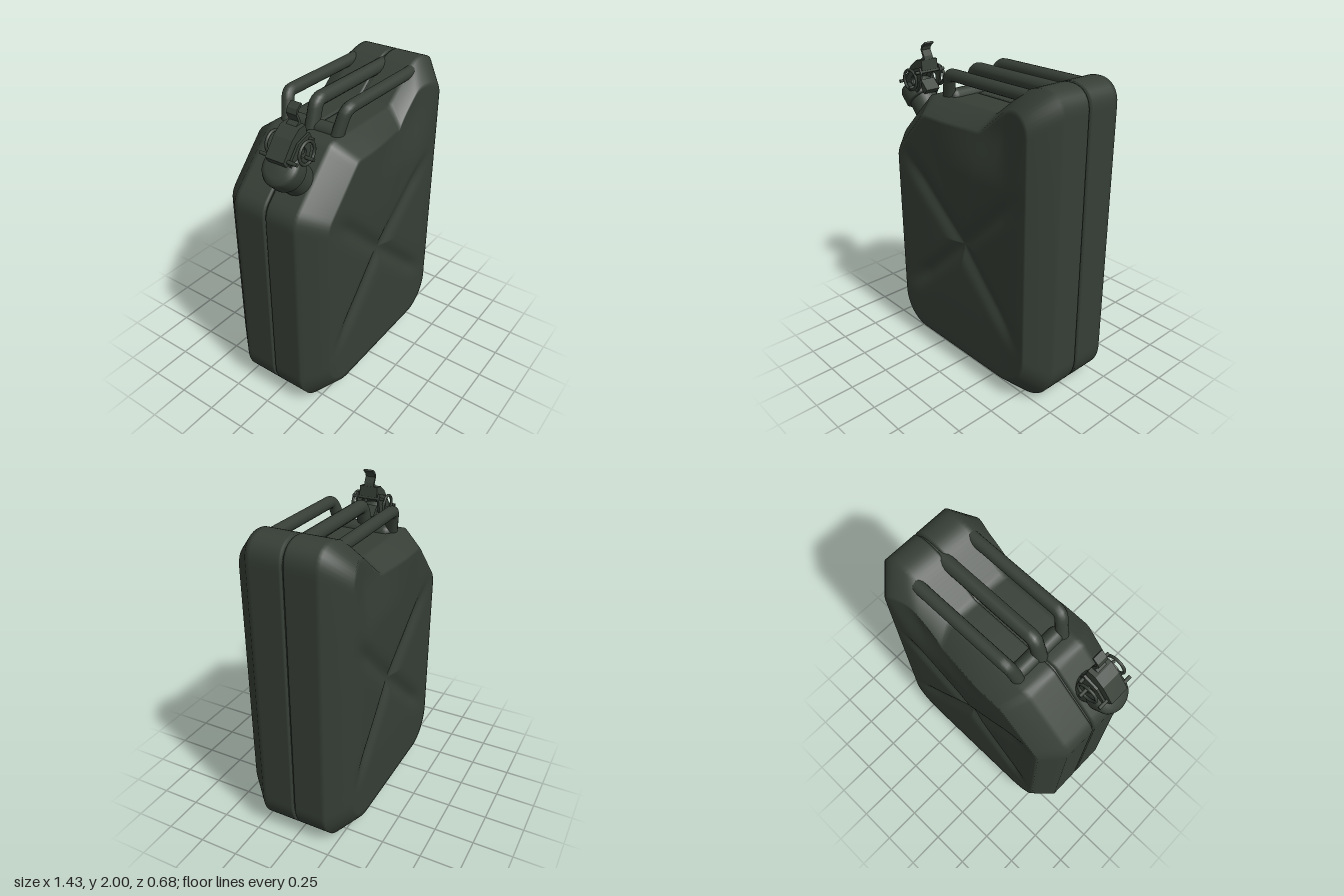
import * as THREE from 'three';

const paint = new THREE.MeshStandardMaterial({ color: 0x363e36 });
paint.name = 'dark olive paint';
const { smoothstep } = THREE.MathUtils;

function add(parent, name, geometry, x = 0, y = 0, z = 0) {
  const mesh = new THREE.Mesh(geometry, paint);
  mesh.name = name;
  mesh.position.set(x, y, z);
  parent.add(mesh);
  return mesh;
}

// Side outline of the can, counter-clockwise
function canOutline() {
  const s = new THREE.Shape();
  s.moveTo(-0.42, 0);
  s.lineTo(0.475, 0);
  s.absarc(0.475, 0.24, 0.24, -Math.PI / 2, 0);
  s.lineTo(0.715, 1.8);
  s.bezierCurveTo(0.715, 1.88, 0.67, 1.935, 0.58, 1.935);
  s.bezierCurveTo(0.5, 1.935, 0.46, 1.9, 0.42, 1.87);
  s.lineTo(0.24, 1.73);
  s.lineTo(-0.3, 1.73);
  s.quadraticCurveTo(-0.335, 1.73, -0.36, 1.7);
  s.lineTo(-0.62, 1.44);
  s.quadraticCurveTo(-0.66, 1.4, -0.66, 1.34);
  s.lineTo(-0.66, 0.24);
  s.absarc(-0.42, 0.24, 0.24, Math.PI, Math.PI * 1.5);
  const pts = s.getSpacedPoints(240);
  pts.pop();
  return pts;
}

// Outline shrunk by an inset about the middle of the can
const shrink = (p, inset) => [
  0.0275 + (p.x - 0.0275) * (1 - inset / 0.6875),
  0.9675 + (p.y - 0.9675) * (1 - inset / 0.9675),
];

// Depth of the pressed panel: a shallow hollow with cross-shaped valleys,
// falling away beside the ridge that leads to the raised corner
function panelZ(x, y, s) {
  const dx = Math.abs(x - 0.035), dy = Math.abs(y - 0.875);
  const r = Math.hypot(dx, dy);
  const d = Math.abs(dx * 0.686 - dy * 0.727);
  const valley = Math.exp(-((d / 0.055) ** 2)) * (1 - smoothstep(r, 0.45, 0.76));
  const hollow = Math.pow(Math.max(0, 0.96 - Math.max(s, 0.07)), 1.5);
  const u = 0.5 + (y - 1.35) * 0.22 - x;
  const fall = smoothstep(y, 1.35, 1.7) * smoothstep(u, 0, 0.2) * (1 - smoothstep(u, 0.25, 0.7));
  return 0.34 - 0.03 * hollow - 0.026 * valley - 0.04 * fall;
}

function bodyGeometry() {
  const outline = canOutline();
  const n = outline.length;
  // Seam groove, side wall and start of the chamfer
  const half = [[0.016, 0.004], [0.016, 0.007], [0, 0.009], [0, 0.02], [0, 0.19], [0, 0.218]]
    .map(([inset, z]) => outline.map((p) => [...shrink(p, inset), z]));
  // Pressed panel, ring by ring to its centre
  const steps = 32;
  for (let k = 0; k <= steps; k++) {
    const s = 1 - k / steps;
    half.push(outline.map((p) => {
      const [rx, ry] = shrink(p, 0.11);
      const x = 0.035 + (rx - 0.035) * s, y = 0.875 + (ry - 0.875) * s;
      return [x, y, panelZ(x, y, s)];
    }));
  }
  const back = half.map((ring) => ring.map(([x, y, z]) => [x, y, -z])).reverse();
  const rings = [...back, ...half];
  const index = [];
  for (let k = 0; k < rings.length - 1; k++) {
    for (let i = 0; i < n; i++) {
      const j = (i + 1) % n;
      const a = k * n + i, b = k * n + j, c = b + n, d = a + n;
      index.push(a, b, c, a, c, d);
    }
  }
  const g = new THREE.BufferGeometry();
  g.setAttribute('position', new THREE.Float32BufferAttribute(rings.flat(2), 3));
  g.setIndex(index);
  g.computeVertexNormals();
  return g;
}

// Bent carrying bar running from the shoulder to the raised corner
function handleGeometry(z, radius) {
  const v = (x, y, k = 1) => new THREE.Vector3(x, y, z * k);
  const path = new THREE.CurvePath();
  path.add(new THREE.LineCurve3(v(-0.238, 1.69, 0.82), v(-0.195, 1.83, 0.94)));
  path.add(new THREE.QuadraticBezierCurve3(v(-0.195, 1.83, 0.94), v(-0.182, 1.872), v(-0.14, 1.872)));
  path.add(new THREE.LineCurve3(v(-0.14, 1.872), v(0.52, 1.872)));
  return new THREE.TubeGeometry(path, 60, radius, 14);
}

function extrude(points, depth, hole) {
  const s = new THREE.Shape(points.map(([x, y]) => new THREE.Vector2(x, y)));
  if (hole) s.holes.push(new THREE.Path().absarc(hole[0], hole[1], hole[2], 0, Math.PI * 2, true));
  return new THREE.ExtrudeGeometry(s, { depth, bevelEnabled: false, curveSegments: 16 }).translate(0, 0, -depth / 2);
}

// Filler neck with its cap and locking lever; local y runs along the neck
function spout() {
  const g = new THREE.Group();
  g.name = 'spout';
  g.position.set(-0.5, 1.56, 0.11);
  g.rotation.z = Math.PI / 4;
  add(g, 'neck', new THREE.CylinderGeometry(0.088, 0.095, 0.27, 32), 0, 0.015);
  const capProfile = [[0, 0.1], [0.1, 0.1], [0.11, 0.11], [0.11, 0.185], [0.1, 0.205], [0.07, 0.222], [0, 0.225]];
  add(g, 'cap', new THREE.LatheGeometry(capProfile.map(([x, y]) => new THREE.Vector2(x, y)), 36));
  // Lever plate lying over the cap
  add(g, 'lever', extrude([[0, 0.21], [0.1, 0.225], [0.2, 0.18], [0.24, 0.23], [0.2, 0.265], [0.13, 0.276], [0.01, 0.262]], 0.12));
  // Thumb hook
  add(g, 'leverHook', extrude([[0.19, 0.235], [0.235, 0.225], [0.25, 0.25], [0.262, 0.288], [0.28, 0.297],
    [0.318, 0.293], [0.319, 0.305], [0.278, 0.311], [0.252, 0.298], [0.236, 0.256], [0.19, 0.26]], 0.065));
  for (const side of [-1, 1]) {
    add(g, 'lockBracket', extrude([[-0.03, 0.14], [0.08, 0.11], [0.13, 0.12], [0.2, 0.16], [0.215, 0.2], [0.13, 0.245], [0.02, 0.235]],
      0.014, [0.11, 0.18, 0.028]), 0, 0, side * 0.075);
    add(g, 'lockRing', new THREE.TorusGeometry(0.062, 0.009, 8, 24), 0.115, 0.185, side * 0.108);
  }
  // Hinge pins
  for (const [x, y, length] of [[0.19, 0.18, 0.22], [0.1, 0.14, 0.27], [0.03, 0.235, 0.24]]) {
    const pin = add(g, 'hingePin', new THREE.CylinderGeometry(0.01, 0.01, length, 10), x, y);
    pin.rotation.x = Math.PI / 2;
  }
  add(g, 'hingeBlock', new THREE.BoxGeometry(0.04, 0.08, 0.1), 0.115, 0.12);
  return g;
}

export function createModel() {
  const model = new THREE.Group();
  model.name = 'fuelCan';
  add(model, 'body', bodyGeometry());
  // Three parallel carrying bars joined by a low foot
  for (const [z, radius] of [[-0.203, 0.037], [0, 0.042], [0.203, 0.037]]) {
    add(model, 'handle', handleGeometry(z, radius));
  }
  const foot = add(model, 'handleFoot', new THREE.CapsuleGeometry(0.048, 0.28, 6, 16), -0.205, 1.725, 0);
  foot.rotation.x = Math.PI / 2;
  model.add(spout());
  return model;
}
